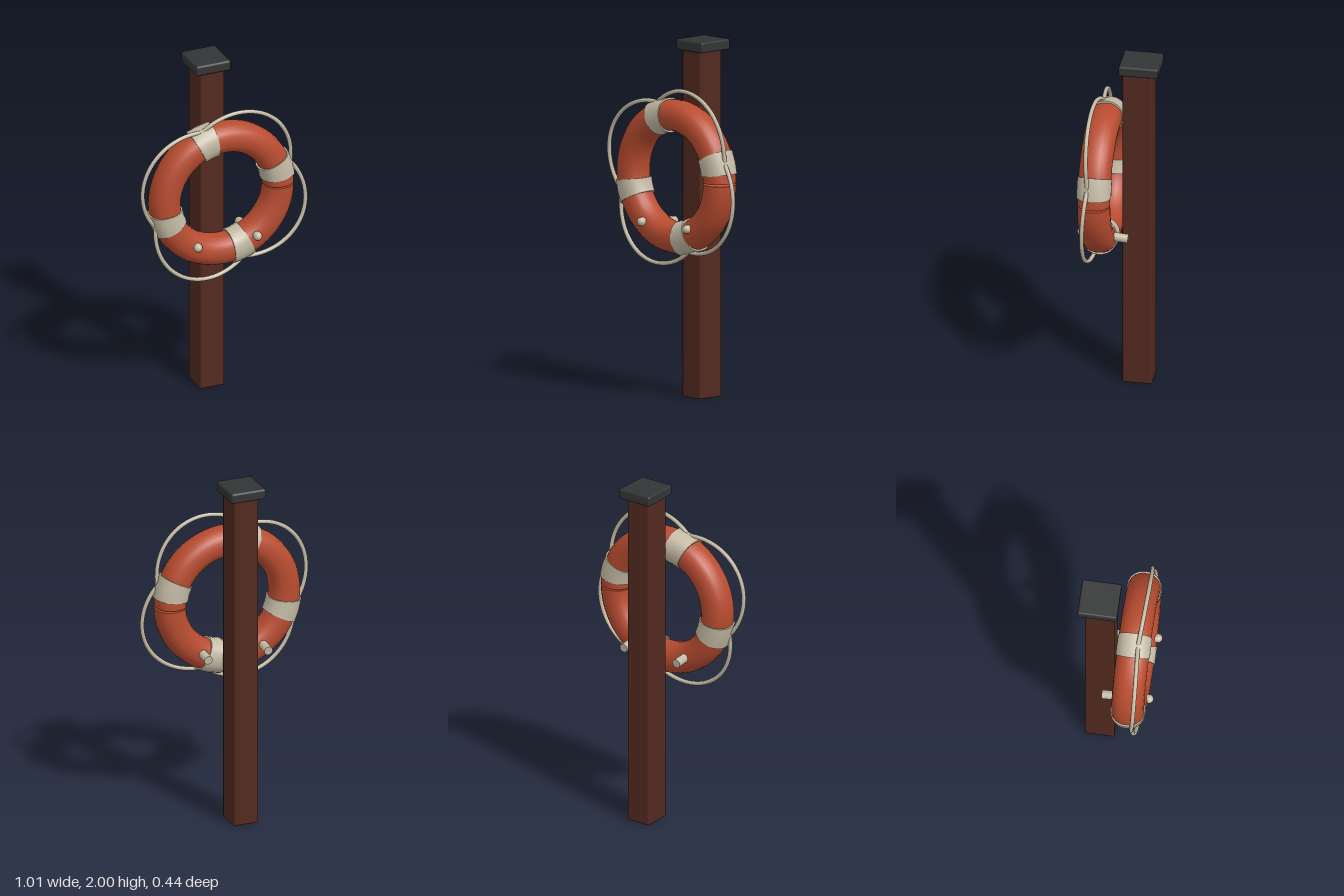
import * as THREE from 'three';
import { mergeGeometries, mergeVertices } from 'three/addons/utils/BufferGeometryUtils.js';
import { RoundedBoxGeometry } from 'three/addons/geometries/RoundedBoxGeometry.js';

const RING_R = 0.342, RING_Y = 1.253, RING_Z = 0.095;
const SIDES = 20;
const rad = THREE.MathUtils.degToRad;

// Slightly squared circle used for the float's cross-section
const squarish = (v) => Math.sign(v) * Math.abs(v) ** 0.9;

// Capped arc of the float: a is the radial half-width, b the half-depth
function arcTube(a, b, from, to, segments) {
  const tube = new THREE.TorusGeometry(RING_R, 1, SIDES, segments, to - from);
  const p = tube.attributes.position;
  for (let j = 0; j <= SIDES; j++) {
    const v = (j / SIDES) * Math.PI * 2;
    const r = RING_R + a * squarish(Math.cos(v));
    for (let i = 0; i <= segments; i++) {
      const u = from + (i / segments) * (to - from);
      p.setXYZ(j * (segments + 1) + i, r * Math.cos(u), r * Math.sin(u), b * squarish(Math.sin(v)));
    }
  }
  tube.deleteAttribute('uv');
  tube.deleteAttribute('normal');
  const body = mergeVertices(tube, 1e-5);
  body.computeVertexNormals();

  // End faces
  const caps = [[from, Math.PI / 2], [to, -Math.PI / 2]].map(([angle, tilt]) => {
    const cap = new THREE.CircleGeometry(1, SIDES);
    const c = cap.attributes.position;
    for (let i = 0; i < c.count; i++) {
      c.setXY(i, a * squarish(c.getX(i)), b * squarish(c.getY(i)));
    }
    cap.deleteAttribute('uv');
    return cap.rotateX(tilt).translate(RING_R, 0, 0).rotateZ(angle);
  });
  return mergeGeometries([body, ...caps]);
}

// Rope loops outward between the four bands
class RopeCurve extends THREE.Curve {
  getPoint(t, target = new THREE.Vector3()) {
    const swell = Math.abs(Math.sin(t * 4 * Math.PI));
    const angle = rad(17) + t * Math.PI * 2;
    const r = 0.424 + 0.092 * swell;
    return target.set(r * Math.cos(angle), r * Math.sin(angle), 0.026 + 0.019 * swell);
  }
}

export function createModel() {
  const model = new THREE.Group();
  const material = (name, color) => {
    const m = new THREE.MeshStandardMaterial({ color });
    m.name = name;
    return m;
  };
  const wood = material('brown wood', 0x52291f);
  const black = material('black cap', 0x333435);
  const orange = material('orange float', 0xb84c30);
  const cream = material('cream canvas', 0xc4bba5);

  const add = (parent, name, geometry, mat, x = 0, y = 0, z = 0) => {
    const mesh = new THREE.Mesh(geometry, mat);
    mesh.name = name;
    mesh.position.set(x, y, z);
    parent.add(mesh);
    return mesh;
  };

  // Post and cap
  add(model, 'post', new RoundedBoxGeometry(0.146, 1.95, 0.165, 2, 0.01), wood, 0, 0.975, -0.1);
  add(model, 'postCap', new RoundedBoxGeometry(0.208, 0.06, 0.22, 2, 0.012), black, 0, 1.97, -0.11);

  // Split ring float
  const buoy = new THREE.Group();
  buoy.name = 'lifebuoy';
  buoy.position.set(0, RING_Y, RING_Z);
  model.add(buoy);
  add(buoy, 'ring', arcTube(0.087, 0.091, 0.015, Math.PI * 2 - 0.013, 72), orange);

  // Canvas bands
  for (let i = 0; i < 4; i++) {
    const mid = rad(17 + i * 90);
    add(buoy, 'band', arcTube(0.097, 0.096, mid - rad(9), mid + rad(9), 2), cream);
  }

  // Grab rope
  add(buoy, 'rope', new THREE.TubeGeometry(new RopeCurve(), 120, 0.012, 8, true), cream);

  // Support pegs with rounded tips, tilted slightly upward to the front
  for (const side of [-1, 1]) {
    const peg = new THREE.Group();
    peg.name = 'peg';
    peg.position.set(side * 0.18, 0.966, -0.07);
    peg.rotation.x = Math.PI / 2 - 0.09;
    add(peg, 'pegShaft', new THREE.CylinderGeometry(0.025, 0.025, 0.262, 16), cream, 0, 0.131, 0);
    add(peg, 'pegTip', new THREE.SphereGeometry(0.025, 16, 6, 0, Math.PI * 2, 0, Math.PI / 2), cream, 0, 0.262, 0);
    model.add(peg);
  }

  return model;
}
